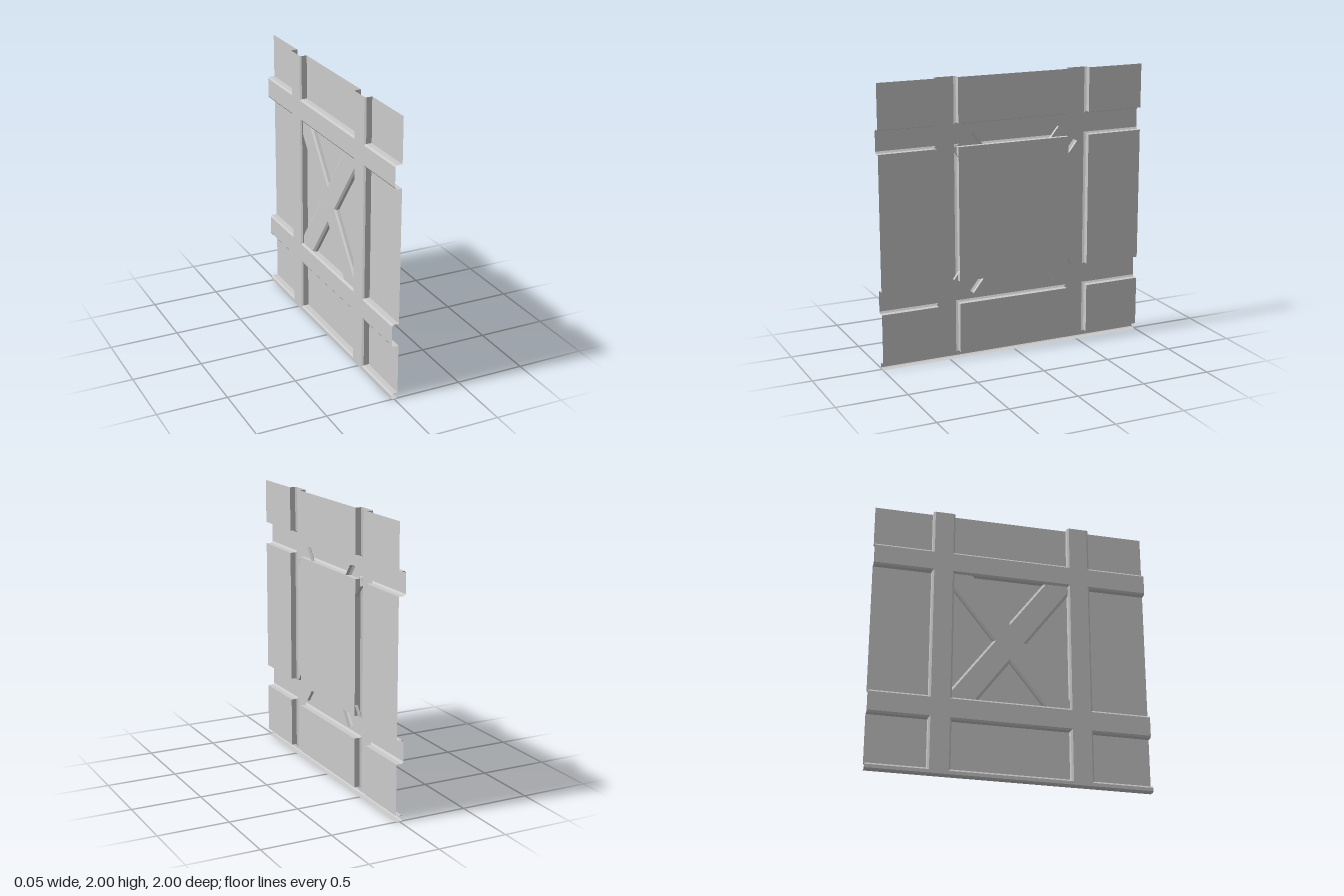
import * as THREE from 'three';

const BACK = -0.025, BEND = -0.015, FACE = 0.025; // sheet depths along x
const INSET = 0.013;                               // width of the bent foot

const material = new THREE.MeshStandardMaterial({
  color: 0xcccccc, flatShading: true, side: THREE.DoubleSide,
});

// Mesh from a list of four-cornered faces
function quadMesh(name, quads) {
  const pos = [];
  for (const [a, b, c, d] of quads) pos.push(...a, ...b, ...c, ...a, ...c, ...d);
  const geo = new THREE.BufferGeometry();
  geo.setAttribute('position', new THREE.Float32BufferAttribute(pos, 3));
  geo.computeVertexNormals();
  const mesh = new THREE.Mesh(geo, material);
  mesh.name = name;
  return mesh;
}

// Rectangle at depth x, anticlockwise as seen from +x
const rect = (x, z0, z1, y0, y1) => [[x, y0, z1], [x, y0, z0], [x, y1, z0], [x, y1, z1]];

// Raised panel with walls and bent feet, left open where it meets the outer border
function raisedPanel([z0, z1], [y0, y1]) {
  const open = [false, z0 <= -1, y1 >= 2, z1 >= 1]; // bottom, -z, top, +z
  const ring = (x, d) => rect(x,
    z0 + (open[1] ? 0 : d), z1 - (open[3] ? 0 : d), y0 + d, y1 - (open[2] ? 0 : d));
  const rings = [ring(BACK, 0), ring(BEND, INSET), ring(FACE, INSET)];
  const quads = [rings[2]];
  for (let r = 0; r < 2; r++) {
    for (let i = 0; i < 4; i++) {
      if (open[i]) continue;
      const j = (i + 1) % 4;
      quads.push([rings[r][i], rings[r][j], rings[r + 1][j], rings[r + 1][i]]);
    }
  }
  return quadMesh('raisedPanel', quads);
}

// Open trough used as a diagonal brace
function brace(length, angle, y, z) {
  const w = 0.094, f = 0.079, h = length / 2;
  const profile = [[0.0243, w], [0.002, w], [-0.009, f], [-0.009, -f], [0.002, -w], [0.0243, -w]];
  const quads = [];
  for (let i = 0; i < profile.length - 1; i++) {
    const [xa, za] = profile[i], [xb, zb] = profile[i + 1];
    quads.push([[xa, -h, za], [xb, -h, zb], [xb, h, zb], [xa, h, za]]);
  }
  const mesh = quadMesh('diagonalBrace', quads);
  mesh.rotation.x = angle;
  mesh.position.set(0, y, z);
  return mesh;
}

export function createModel() {
  const group = new THREE.Group();
  group.name = 'wallPanel';

  const columns = [[-1, -0.567], [-0.433, 0.433], [0.567, 1]];
  const rows = [[0.03, 0.413], [0.55, 1.533], [1.67, 2]];

  // Grid of raised panels
  for (const c of columns) for (const r of rows) group.add(raisedPanel(c, r));

  // Recessed channels between the panels
  const channels = [
    rect(BACK, -1, 1, 0.006, rows[0][0]),
    rect(BACK, -1, 1, rows[0][1], rows[1][0]),
    rect(BACK, -1, 1, rows[1][1], rows[2][0]),
  ];
  for (const [y0, y1] of rows) {
    channels.push(rect(BACK, columns[0][1], columns[1][0], y0, y1));
    channels.push(rect(BACK, columns[1][1], columns[2][0], y0, y1));
  }
  group.add(quadMesh('channels', channels));

  // Bent ledge along the bottom
  group.add(quadMesh('bottomLedge', [
    [[BEND, 0, 1], [BEND, 0, -1], [BACK, 0.006, -1], [BACK, 0.006, 1]],
    [[FACE, 0, 1], [FACE, 0, -1], [BEND, 0, -1], [BEND, 0, 1]],
  ]));

  // Crossed braces behind the middle panel
  group.add(brace(1.302, 0.642, 1.032, -0.01));
  group.add(brace(1.299, -0.669, 1.033, -0.013));

  return group;
}
